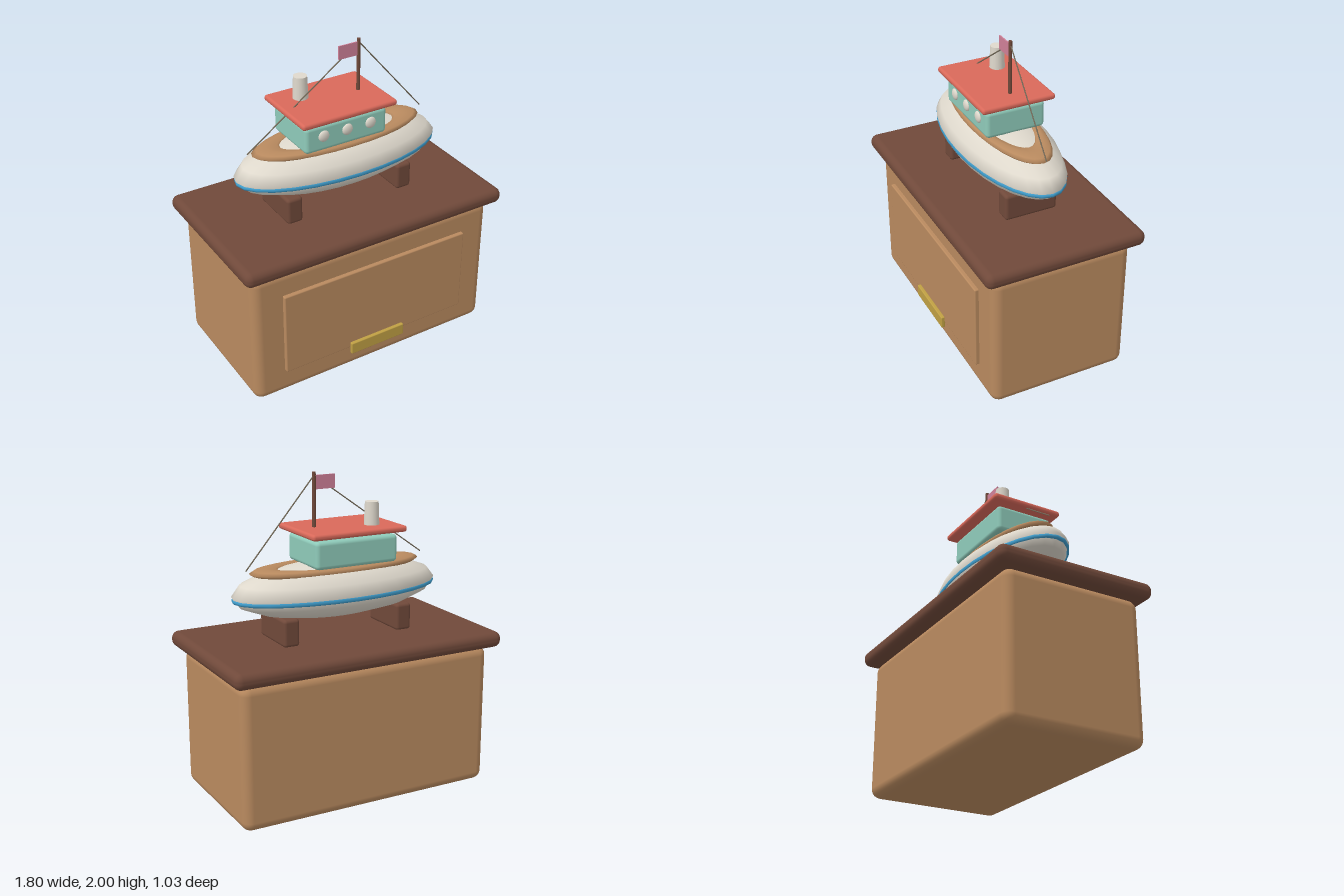
import * as THREE from 'three';
import { RoundedBoxGeometry } from 'three/addons/geometries/RoundedBoxGeometry.js';

const mat = (name, color) => {
  const m = new THREE.MeshStandardMaterial({ color });
  m.name = name;
  return m;
};

export function createModel() {
  const model = new THREE.Group();
  model.name = 'boatOnCabinet';

  const wood = mat('light wood', 0xb98a5f);
  const darkWood = mat('dark wood', 0x70493a);
  const brass = mat('brass', 0xc0a044);
  const cream = mat('cream', 0xded8cc);
  const blue = mat('blue', 0x3f9ccb);
  const teal = mat('teal', 0x8fcbba);
  const red = mat('red', 0xd9695a);
  const pink = mat('pink', 0xcf8098);
  const rope = mat('rope', 0x766c5a);

  const add = (parent, name, geometry, material, x = 0, y = 0, z = 0) => {
    const mesh = new THREE.Mesh(geometry, material);
    mesh.name = name;
    mesh.position.set(x, y, z);
    parent.add(mesh);
    return mesh;
  };
  // Rounded box given by its extents
  const box = (parent, name, material, [x0, x1], [y0, y1], [z0, z1], r, seg = 3) =>
    add(parent, name, new RoundedBoxGeometry(x1 - x0, y1 - y0, z1 - z0, seg, r), material,
      (x0 + x1) / 2, (y0 + y1) / 2, (z0 + z1) / 2);

  // Cabinet
  const cabinet = new THREE.Group();
  cabinet.name = 'cabinet';
  model.add(cabinet);
  box(cabinet, 'cabinetBody', wood, [-0.84, 0.84], [0, 0.9], [-0.45, 0.45], 0.06);
  box(cabinet, 'cabinetTop', darkWood, [-0.9, 0.9], [0.9, 1], [-0.515, 0.515], 0.045);
  box(cabinet, 'door', wood, [-0.645, 0.645], [0.175, 0.735], [0.44, 0.475], 0.008, 2);
  box(cabinet, 'handle', brass, [-0.195, 0.19], [0.135, 0.215], [0.472, 0.497], 0.006, 2);

  // Boat
  const boat = new THREE.Group();
  boat.name = 'boat';
  model.add(boat);
  for (const x of [-0.39, 0.385]) {
    box(boat, 'cradle', darkWood, [x - 0.052, x + 0.052], [0.995, 1.165], [-0.17, 0.17], 0.02);
  }
  const hull = new THREE.SphereGeometry(1, 28, 8);
  hull.scale(0.69, 0.175, 0.28);
  add(boat, 'hull', hull, cream, 0, 1.29, 0);

  // Flat oval rings: stripe around the hull and the deck edge
  const ring = (name, material, tube, sides, sx, sy, sz, y) => {
    const g = new THREE.TorusGeometry(1, tube, sides, 28);
    g.rotateX(Math.PI / 2);
    g.scale(sx, sy, sz);
    add(boat, name, g, material, 0, y, 0);
  };
  ring('hullStripe', blue, 0.018, 8, 0.676, 0.75, 0.276, 1.268);
  ring('deckRing', wood, 0.21, 8, 0.475, 0.11, 0.163, 1.422);

  // Cabin, portholes and roof
  box(boat, 'cabin', teal, [-0.325, 0.23], [1.445, 1.615], [-0.19, 0.19], 0.025);
  for (const x of [-0.205, -0.045, 0.115]) {
    const g = new THREE.SphereGeometry(0.036, 16, 10);
    g.scale(1, 1, 0.45);
    add(boat, 'porthole', g, cream, x, 1.543, 0.19);
  }
  box(boat, 'roof', red, [-0.365, 0.275], [1.632, 1.67], [-0.235, 0.235], 0.017);

  // Funnel, mast and flag
  add(boat, 'funnel', new THREE.CylinderGeometry(0.042, 0.048, 0.15, 16), cream, -0.198, 1.736, -0.088);
  add(boat, 'mast', new THREE.CylinderGeometry(0.011, 0.012, 0.34, 10), darkWood, 0.148, 1.83, 0);
  add(boat, 'flag', new THREE.BoxGeometry(0.13, 0.085, 0.008), pink, 0.075, 1.938, 0);

  // Rigging lines from the masthead to both ends
  for (const x of [-0.607, 0.602]) {
    const line = new THREE.LineCurve3(new THREE.Vector3(0.148, 1.98, 0), new THREE.Vector3(x, 1.447, 0));
    add(boat, 'rigging', new THREE.TubeGeometry(line, 1, 0.004, 6), rope);
  }
  return model;
}
